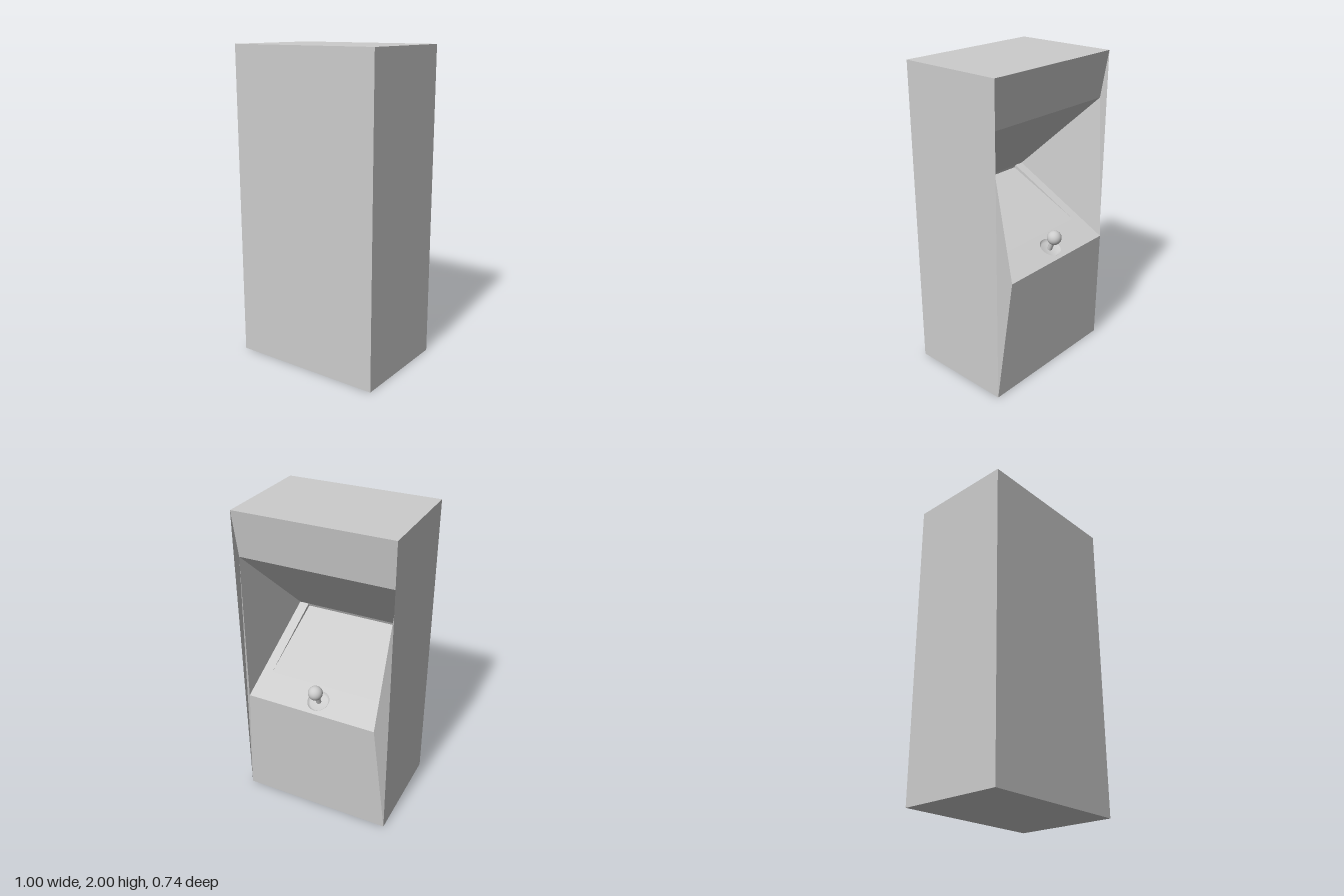
import * as THREE from 'three';

export function createModel() {
  const model = new THREE.Group();
  const grey = new THREE.MeshStandardMaterial({ color: 0xcccccc, side: THREE.DoubleSide });
  grey.name = 'plain grey';

  const add = (name, geometry, parent = model) => {
    const mesh = new THREE.Mesh(geometry, grey);
    mesh.name = name;
    parent.add(mesh);
    return mesh;
  };
  // Flat faces, each a fan of counter-clockwise corners
  const faces = (...polys) => {
    const pos = [];
    for (const p of polys)
      for (let i = 1; i < p.length - 1; i++) pos.push(...p[0], ...p[i], ...p[i + 1]);
    const g = new THREE.BufferGeometry();
    g.setAttribute('position', new THREE.Float32BufferAttribute(pos, 3));
    g.computeVertexNormals();
    return g;
  };
  const flip = ([x, y, z]) => [-x, y, z];
  const mirror = (poly) => poly.map(flip).reverse();

  // Key corners on the +x side; the player's side faces -z
  const H = 2, F = -0.315, R = 0.37;
  const base = [0.5, 0, F], top = [0.5, H, F];
  const baseRear = [0.5, 0, R], topRear = [0.5, H, R];
  const lip = [0.498, 1.7, -0.265];    // lower edge of the header
  const ledge = [0.43, 0.8, -0.37];    // front edge of the controls
  const deep = [0.43, 1.144, 0.324];   // back of the recess
  const across = (a, b) => [a, b, flip(b), flip(a)];

  // Cabinet shell
  const side = [baseRear, base, top, topRear];
  add('sidePanels', faces(side, mirror(side)));
  add('rearPanel', faces(across(topRear, baseRear).reverse()));
  add('roof', faces(across(top, topRear).reverse()));
  add('floor', faces(across(baseRear, base).reverse()));
  add('lowerFrontPanel', faces(across(ledge, base)));
  add('header', faces(across(top, lip)));
  add('headerUnderside', faces(across(lip, deep)));

  // Flared side edges and the inner walls of the recess
  const strip = [base, ledge, lip], wall = [ledge, deep, lip], edge = [base, lip, top];
  add('sideEdges', faces(strip, mirror(strip), edge, mirror(edge)));
  add('recessWalls', faces(wall, mirror(wall)));

  // Sloping control panel: local y runs up the slope, local z points out of it
  const up = new THREE.Vector3(0, deep[1] - ledge[1], deep[2] - ledge[2]);
  const length = up.length();
  up.normalize();
  const across3 = new THREE.Vector3(-1, 0, 0);
  const out = across3.clone().cross(up);
  const panel = new THREE.Group();
  panel.name = 'controlPanel';
  panel.quaternion.setFromRotationMatrix(new THREE.Matrix4().makeBasis(across3, up, out));
  panel.position.set(0, ledge[1], ledge[2]);
  model.add(panel);

  const W = 0.43, S = 0.365, low = 0.2, sink = 0.022;
  const hole = { x: 0.018, y: 0.095, r: 0.07, depth: 0.02 };
  const shape = new THREE.Shape([
    [-W, 0], [W, 0], [W, length], [S, length], [S, low], [-S, low], [-S, length], [-W, length],
  ].map(([x, y]) => new THREE.Vector2(x, y)));
  const circle = new THREE.Path();
  circle.absarc(hole.x, hole.y, hole.r, 0, Math.PI * 2, true);
  shape.holes.push(circle);
  add('panelSurface', new THREE.ShapeGeometry(shape, 24), panel);

  // Screen, sinking gently towards the back
  const nearL = [-S, low, 0], farL = [-S, length, -sink], rimL = [-S, length, 0];
  const cheek = [nearL, farL, rimL];
  add('screen', faces([nearL, flip(nearL), flip(farL), farL]), panel);
  add('screenSurround', faces(cheek, mirror(cheek), [farL, flip(farL), flip(rimL), rimL]), panel);

  // Round socket for the stick
  const socket = add('stickSocket', new THREE.LatheGeometry([
    new THREE.Vector2(0, -hole.depth),
    new THREE.Vector2(hole.r * 0.8, -hole.depth),
    new THREE.Vector2(hole.r, 0),
  ], 32), panel);
  socket.rotation.x = Math.PI / 2;
  socket.position.set(hole.x, hole.y, 0);

  // Joystick
  const foot = new THREE.Vector3(-0.018, 0.83, -0.278);
  const ballCentre = new THREE.Vector3(-0.015, 0.92, -0.316);
  const dir = ballCentre.clone().sub(foot);
  const stick = add('joystickShaft', new THREE.CylinderGeometry(0.016, 0.016, dir.length(), 16));
  stick.position.copy(foot).addScaledVector(dir, 0.5);
  stick.quaternion.setFromUnitVectors(new THREE.Vector3(0, 1, 0), dir.clone().normalize());
  add('joystickBall', new THREE.SphereGeometry(0.046, 24, 16)).position.copy(ballCentre);

  return model;
}
